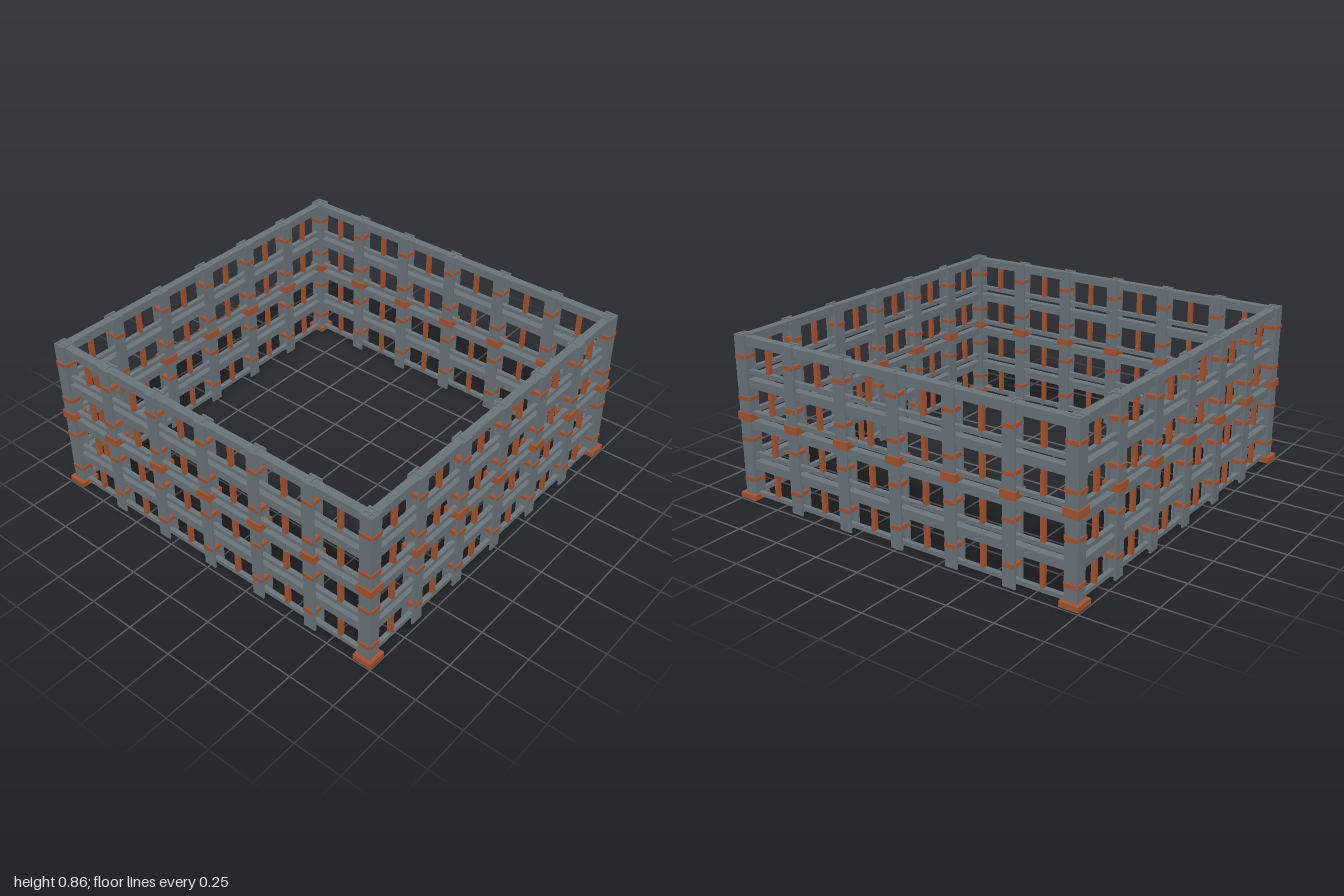
import * as THREE from 'three';

const steel = new THREE.MeshStandardMaterial({ color: 0x68727a });
steel.name = 'grey steel';
const rust = new THREE.MeshStandardMaterial({ color: 0xa0522d });
rust.name = 'rusty brown';

const R = 0.947;        // wall distance from the centre
const BAY = R / 3;      // post spacing
const TIER = 0.215;     // tier height
const POST_H = 0.863;

function box(parent, name, material, w, h, d, x, y, z) {
  const mesh = new THREE.Mesh(new THREE.BoxGeometry(w, h, d), material);
  mesh.name = name;
  mesh.position.set(x, y, z);
  parent.add(mesh);
}

// Upright with an I section: flanges face outward and inward
function postGeometry() {
  const a = 0.033, f = 0.023, w = 0.006;
  const pts = [[-a, -a], [a, -a], [a, -f], [w, -f], [w, f], [a, f],
    [a, a], [-a, a], [-a, f], [-w, f], [-w, -f], [-a, -f]];
  const shape = new THREE.Shape(pts.map(([x, y]) => new THREE.Vector2(x, y)));
  const geo = new THREE.ExtrudeGeometry(shape, { depth: POST_H, bevelEnabled: false });
  return geo.rotateX(-Math.PI / 2);
}

// One wall, lying in the plane z = R
function buildWall(postGeo) {
  const wall = new THREE.Group();

  // Posts with bands and a central collar
  for (let i = -3; i <= 3; i++) {
    const x = i * BAY;
    const post = new THREE.Mesh(postGeo, steel);
    post.name = 'post';
    post.position.set(x, 0, R);
    wall.add(post);
    box(wall, 'postCollar', rust, 0.08, 0.04, 0.085, x, 0.446, R);
    for (let t = 0; t < 4; t++) {
      box(wall, 'postBand', rust, 0.06, 0.02, 0.078, x, 0.111 + t * TIER, R);
    }
  }

  for (let t = 0; t < 4; t++) {
    // Main beam and thin rail of each tier
    const beamY = 0.19 + t * TIER;
    const railY = 0.031 + t * TIER;
    box(wall, 'beam', steel, 2 * R + 0.04, 0.045, 0.043, 0, beamY, R);
    box(wall, 'rail', steel, 2 * R, 0.022, 0.024, 0, railY, R);

    // Short bars between rail and beam, one in each bay
    for (let i = -3; i < 3; i++) {
      box(wall, 'verticalBar', rust, 0.022, beamY - railY - 0.012, 0.022,
        (i + 0.5) * BAY, (beamY + railY) / 2, R);
    }
  }
  return wall;
}

export function createModel() {
  const model = new THREE.Group();
  model.name = 'latticeEnclosure';

  // Four equal walls; their end posts cross at the corners
  const postGeo = postGeometry();
  ['frontWall', 'leftWall', 'backWall', 'rightWall'].forEach((name, i) => {
    const wall = buildWall(postGeo);
    wall.name = name;
    wall.rotation.y = i * Math.PI / 2;
    model.add(wall);
  });

  // Foot plates under the corners
  for (const sx of [-1, 1]) {
    for (const sz of [-1, 1]) {
      box(model, 'cornerFoot', rust, 0.1, 0.028, 0.1, sx * 0.95, 0.021, sz * 0.95);
    }
  }
  return model;
}
